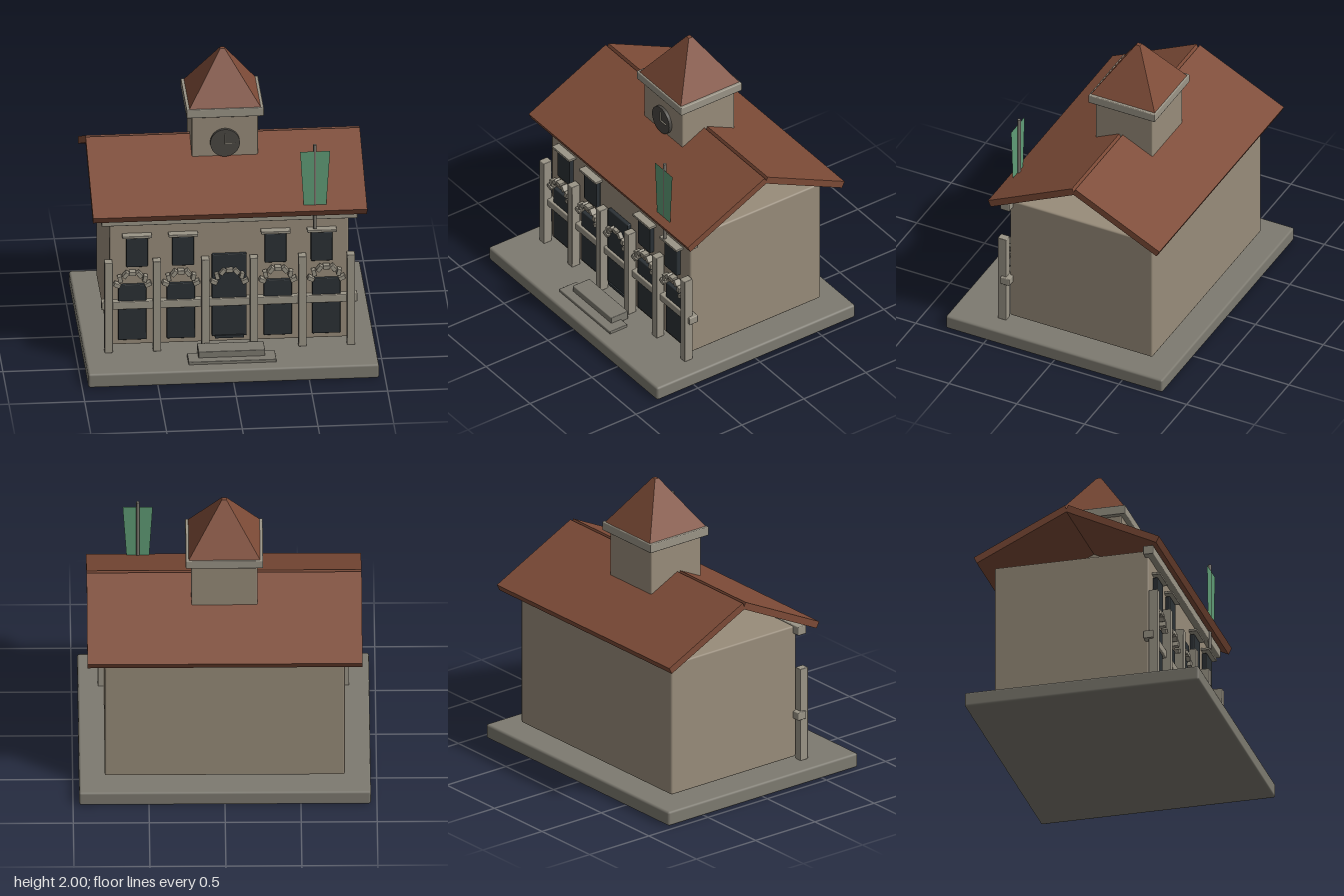
import * as THREE from 'three';
import { RoundedBoxGeometry } from 'three/addons/geometries/RoundedBoxGeometry.js';

const mat = (color, extra = {}) => new THREE.MeshStandardMaterial({ color, ...extra });

export function createModel() {
  const model = new THREE.Group();
  model.name = 'townHall';
  const stone = mat(0x7d7a70), wall = mat(0x988c7a), trim = mat(0x9b9587);
  const glass = mat(0x2b3135), tile = mat(0x7d4b37, { flatShading: true });
  const dial = mat(0x4a4742), metal = mat(0x77736a);
  const cloth = mat(0x5f9c76, { side: THREE.DoubleSide });

  const add = (name, geometry, material, x = 0, y = 0, z = 0) => {
    const mesh = new THREE.Mesh(geometry, material);
    mesh.name = name;
    mesh.position.set(x, y, z);
    model.add(mesh);
    return mesh;
  };
  // Box from its extents, with a small chamfer when bevel > 0
  const box = (name, material, [x0, x1], [y0, y1], [z0, z1], bevel = 0) => {
    const s = [x1 - x0, y1 - y0, z1 - z0];
    const g = bevel ? new RoundedBoxGeometry(...s, 1, bevel) : new THREE.BoxGeometry(...s);
    return add(name, g, material, (x0 + x1) / 2, (y0 + y1) / 2, (z0 + z1) / 2);
  };
  const around = (c, w) => [c - w / 2, c + w / 2];

  // Plinth, steps and main block
  box('plinth', stone, [-0.96, 0.96], [0, 0.1], [-0.8, 0.8], 0.015);
  box('lowerStep', stone, [-0.29, 0.29], [0.095, 0.12], [0.565, 0.705], 0.005);
  box('upperStep', stone, [-0.22, 0.22], [0.1, 0.163], [0.51, 0.645], 0.005);
  box('walls', wall, [-0.79, 0.79], [0.125, 1.06], [-0.64, 0.412], 0.012);

  // Arcade pillars and the two horizontal beams
  for (let i = 0; i < 6; i++) {
    box('pillar', trim, around(-0.8 + i * 0.32, 0.054), [0.1, 0.755], [0.42, 0.484], 0.005);
  }
  box('bandBeam', trim, [-0.845, 0.845], [0.4, 0.455], [0.388, 0.456], 0.006);
  box('eavesBeam', trim, [-0.845, 0.845], [1.008, 1.07], [0.388, 0.456], 0.006);

  // Ground-floor openings, each with an arch of loose stones
  for (const x of [-0.64, -0.32, 0, 0.32, 0.64]) {
    if (x) box('lowerWindow', glass, around(x, 0.187), [0.17, 0.57], [0.41, 0.44], 0.006);
    for (let i = -3; i <= 3; i++) {
      const a = i * 0.45;
      const block = add('archStone', new RoundedBoxGeometry(0.045, 0.028, 0.045, 1, 0.003), trim,
        x + Math.sin(a) * 0.105, 0.556 + Math.cos(a) * 0.105, 0.445);
      block.rotation.z = -2 * a;
    }
  }
  box('door', glass, [-0.115, 0.115], [0.175, 0.77], [0.41, 0.44], 0.006);
  box('doorSill', glass, [-0.095, 0.095], [0.165, 0.185], [0.41, 0.45]);

  // Upper windows with lintels
  for (const x of [-0.61, -0.305, 0.305, 0.61]) {
    box('upperWindow', glass, around(x, 0.143), [0.7, 0.91], [0.41, 0.444], 0.006);
    box('lintel', trim, around(x, 0.195), [0.918, 0.936], [0.41, 0.468], 0.004);
  }

  // Two sloping roof slabs meeting at the ridge
  for (const side of [1, -1]) {
    const slab = add('roofSlope', new THREE.BoxGeometry(1.81, 0.048, 0.69), tile,
      0, 1.228, -0.118 + side * 0.312);
    slab.rotation.x = side * 0.453;
  }

  // Clock tower with cornice and pyramid roof
  const tz = -0.14;
  box('tower', wall, [-0.218, 0.218], [1.06, 1.615], around(tz, 0.42), 0.008);
  box('towerCornice', trim, [-0.255, 0.255], [1.608, 1.67], around(tz, 0.49), 0.006);
  const spire = new THREE.CylinderGeometry(0.015 * Math.SQRT2, 0.235 * Math.SQRT2, 0.33, 4);
  add('towerRoof', spire.rotateY(Math.PI / 4), tile, 0, 1.835, tz);
  add('clockFace', new THREE.CylinderGeometry(0.098, 0.098, 0.025, 32).rotateX(Math.PI / 2),
    dial, 0, 1.415, 0.079);
  box('minuteHand', trim, [-0.003, 0.003], [1.412, 1.48], [0.09, 0.1]);
  box('hourHand', trim, [-0.003, 0.065], [1.412, 1.418], [0.09, 0.1]);

  // Flagpole and hanging banner
  add('flagpole', new THREE.CylinderGeometry(0.011, 0.011, 0.61, 12), metal, 0.563, 1.25, 0.458);
  const banner = new THREE.Shape([[0.465, 1.51], [0.49, 1.09], [0.636, 1.09], [0.663, 1.51]]
    .map(([x, y]) => new THREE.Vector2(x, y)));
  add('banner', new THREE.ShapeGeometry(banner), cloth, 0, 0, 0.467);

  return model;
}
